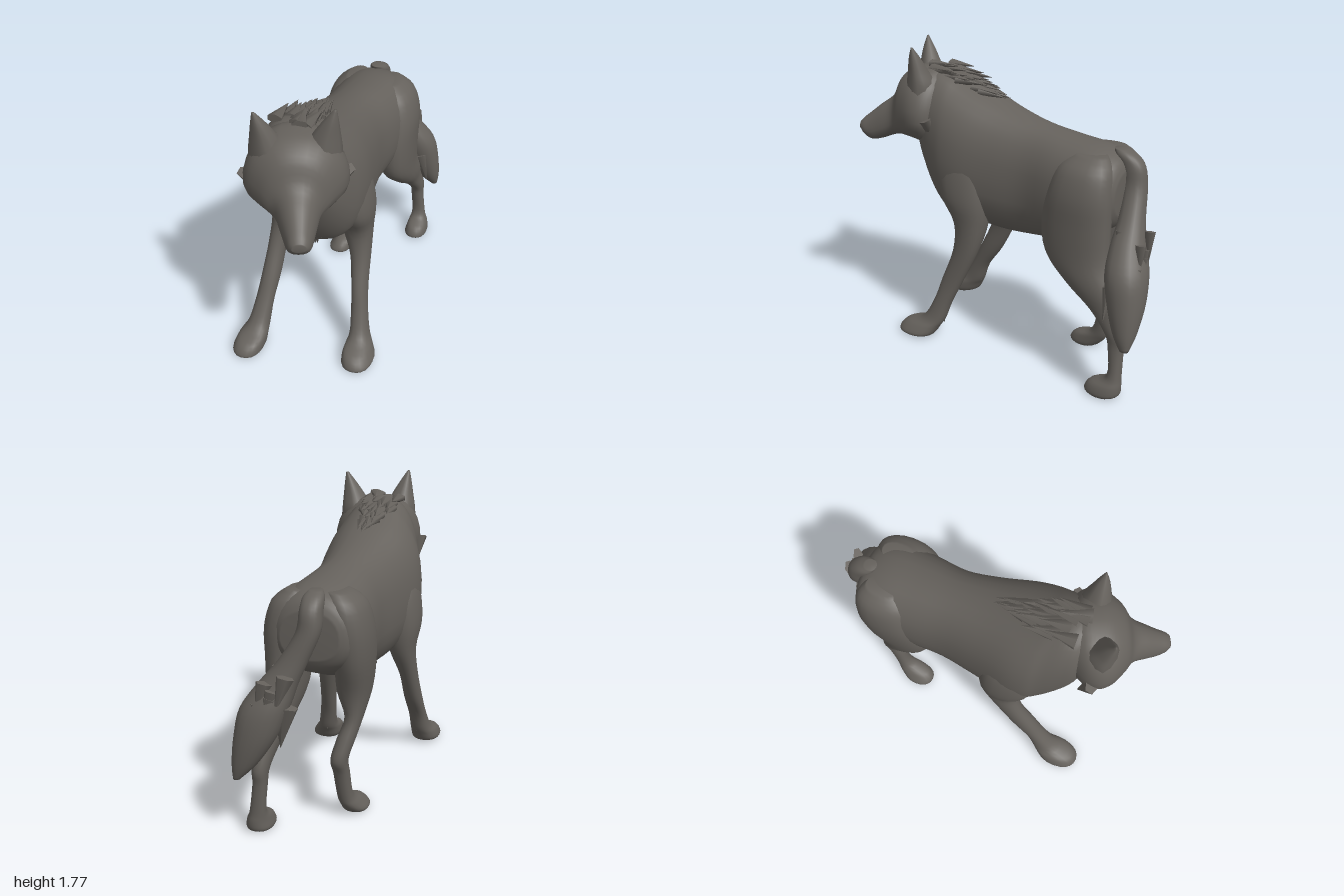
import * as THREE from 'three';

const fur = new THREE.MeshStandardMaterial({ color: 0x65615c });
fur.name = 'dark fur';

// Smooth interpolation through rows of numbers
function smoothRows(rows, steps) {
  const out = [];
  const at = (i) => rows[Math.max(0, Math.min(rows.length - 1, i))];
  for (let i = 0; i < rows.length - 1; i++) {
    for (let s = 0; s < steps; s++) {
      const t = s / steps;
      out.push(at(i).map((p1, k) => {
        const p0 = at(i - 1)[k], p2 = at(i + 1)[k], p3 = at(i + 2)[k];
        return 0.5 * (2 * p1 + (p2 - p0) * t + (2 * p0 - 5 * p1 + 4 * p2 - p3) * t * t
          + (3 * p1 - p0 - 3 * p2 + p3) * t * t * t);
      }));
    }
  }
  out.push(rows[rows.length - 1]);
  return out;
}

// Loft of oval sections, narrowed toward the top by taper. Rows ascend along the axis:
// axis 'z': [z, xMin, xMax, yMin, yMax]; axis 'y': [y, xMin, xMax, zMin, zMax]
function loft(name, axis, rows, power = 0.9, sides = 20, taper = 0) {
  const rings = smoothRows(rows, 4);
  const pos = [], index = [];
  const put = (t, a, b) => (axis === 'z' ? pos.push(a, b, t) : pos.push(a, t, b));
  const round = (v) => Math.sign(v) * Math.abs(v) ** power;
  for (const [t, a0, a1, b0, b1] of rings) {
    for (let j = 0; j < sides; j++) {
      const w = (j / sides) * Math.PI * 2;
      const c = round(Math.cos(w)), s = round(Math.sin(w));
      const [a, b] = axis === 'z' ? [c * (1 - taper * s), s] : [s, c];
      put(t, (a0 + a1) / 2 + a * (a1 - a0) / 2, (b0 + b1) / 2 + b * (b1 - b0) / 2);
    }
  }
  const n = rings.length;
  for (let i = 0; i < n - 1; i++) {
    for (let j = 0; j < sides; j++) {
      const k = (j + 1) % sides;
      const a = i * sides + j, b = i * sides + k, c = a + sides, d = b + sides;
      index.push(a, b, c, b, d, c);
    }
  }
  // End caps
  for (const i of [0, n - 1]) {
    const [t, a0, a1, b0, b1] = rings[i];
    put(t, (a0 + a1) / 2, (b0 + b1) / 2);
    const mid = pos.length / 3 - 1;
    for (let j = 0; j < sides; j++) {
      const a = i * sides + j, b = i * sides + (j + 1) % sides;
      if (i === 0) index.push(mid, b, a); else index.push(mid, a, b);
    }
  }
  const g = new THREE.BufferGeometry();
  g.setAttribute('position', new THREE.Float32BufferAttribute(pos, 3));
  g.setIndex(index);
  g.computeVertexNormals();
  const mesh = new THREE.Mesh(g, fur);
  mesh.name = name;
  return mesh;
}

// Flattened lock of fur pointing along a direction
function tuft(name, at, dir, length, width) {
  const m = new THREE.Mesh(new THREE.ConeGeometry(width, length, 6), fur);
  m.name = name;
  m.position.set(...at);
  m.quaternion.setFromUnitVectors(new THREE.Vector3(0, 1, 0), new THREE.Vector3(...dir).normalize());
  m.scale.z = 0.6;
  return m;
}

export function createModel() {
  const model = new THREE.Group();
  model.name = 'wolf';
  let seed = 7;
  const rand = () => (seed = (seed * 16807) % 2147483647) / 2147483647;
  const spread = (r) => (rand() * 2 - 1) * r;

  // Torso, chest and neck
  model.add(loft('body', 'z', [
    [-0.76, -0.15, 0.16, 0.99, 1.24],
    [-0.72, -0.21, 0.22, 0.92, 1.31],
    [-0.6, -0.24, 0.26, 0.86, 1.355],
    [-0.4, -0.25, 0.25, 0.78, 1.38],
    [-0.2, -0.25, 0.22, 0.74, 1.41],
    [0.0, -0.29, 0.24, 0.73, 1.46],
    [0.2, -0.34, 0.27, 0.75, 1.53],
    [0.32, -0.34, 0.27, 0.76, 1.58],
    [0.4, -0.31, 0.25, 0.79, 1.62],
    [0.5, -0.27, 0.21, 0.93, 1.65],
    [0.58, -0.22, 0.16, 1.1, 1.62],
    [0.64, -0.1, 0.1, 1.24, 1.5],
  ], 0.86, 28, 0.06));

  // Front legs with shoulders and paws
  model.add(loft('frontLegLeft', 'y', [
    [0.01, 0.24, 0.4, 0.4, 0.6],
    [0.03, 0.23, 0.42, 0.37, 0.62],
    [0.08, 0.23, 0.39, 0.34, 0.58],
    [0.13, 0.235, 0.35, 0.31, 0.46],
    [0.25, 0.22, 0.32, 0.27, 0.39],
    [0.4, 0.2, 0.295, 0.2, 0.34],
    [0.6, 0.16, 0.28, 0.11, 0.27],
    [0.78, 0.1, 0.28, 0.06, 0.27],
    [0.95, 0.1, 0.295, 0.05, 0.36],
    [1.15, 0.08, 0.26, 0.07, 0.38],
    [1.32, 0.06, 0.18, 0.15, 0.32],
  ]));
  model.add(loft('frontLegRight', 'y', [
    [0.01, -0.41, -0.25, 0.54, 0.74],
    [0.03, -0.425, -0.24, 0.5, 0.76],
    [0.08, -0.41, -0.24, 0.47, 0.72],
    [0.13, -0.38, -0.25, 0.44, 0.6],
    [0.25, -0.36, -0.25, 0.39, 0.51],
    [0.4, -0.35, -0.24, 0.28, 0.43],
    [0.6, -0.34, -0.23, 0.17, 0.33],
    [0.78, -0.34, -0.18, 0.08, 0.29],
    [0.95, -0.365, -0.15, 0.05, 0.37],
    [1.15, -0.34, -0.15, 0.07, 0.38],
    [1.32, -0.26, -0.13, 0.15, 0.32],
  ]));
  // Spurs behind the front wrists
  model.add(tuft('wristSpur', [0.28, 0.16, 0.325], [0, -1, -0.1], 0.12, 0.035));
  model.add(tuft('wristSpur', [-0.3, 0.17, 0.455], [0, -1, -0.1], 0.12, 0.035));

  // Hind legs with thighs, hocks and paws
  model.add(loft('hindLegLeft', 'y', [
    [0.01, 0.22, 0.35, -0.87, -0.71],
    [0.03, 0.21, 0.36, -0.9, -0.69],
    [0.08, 0.22, 0.35, -0.905, -0.72],
    [0.14, 0.23, 0.32, -0.9, -0.82],
    [0.3, 0.22, 0.3, -0.9, -0.81],
    [0.39, 0.21, 0.3, -0.91, -0.78],
    [0.5, 0.18, 0.29, -0.87, -0.67],
    [0.62, 0.14, 0.3, -0.82, -0.51],
    [0.76, 0.1, 0.3, -0.76, -0.37],
    [0.95, 0.08, 0.305, -0.75, -0.34],
    [1.12, 0.06, 0.305, -0.75, -0.37],
    [1.26, 0.05, 0.26, -0.73, -0.42],
    [1.33, 0.06, 0.17, -0.68, -0.5],
  ]));
  model.add(loft('hindLegRight', 'y', [
    [0.01, -0.22, -0.09, -0.52, -0.37],
    [0.03, -0.23, -0.08, -0.55, -0.35],
    [0.08, -0.2, -0.08, -0.59, -0.39],
    [0.14, -0.17, -0.08, -0.61, -0.51],
    [0.3, -0.16, -0.07, -0.65, -0.55],
    [0.39, -0.16, -0.065, -0.69, -0.56],
    [0.5, -0.19, -0.09, -0.66, -0.51],
    [0.62, -0.22, -0.12, -0.62, -0.44],
    [0.76, -0.25, -0.07, -0.64, -0.33],
    [0.95, -0.275, -0.07, -0.71, -0.33],
    [1.12, -0.275, -0.06, -0.74, -0.37],
    [1.26, -0.24, -0.05, -0.73, -0.42],
    [1.33, -0.16, -0.05, -0.68, -0.5],
  ]));

  // Bushy tail hanging to one side
  model.add(loft('tail', 'y', [
    [0.36, 0.33, 0.37, -0.97, -0.92],
    [0.45, 0.24, 0.38, -0.99, -0.86],
    [0.6, 0.14, 0.37, -1.0, -0.8],
    [0.75, 0.08, 0.34, -0.985, -0.76],
    [0.88, 0.04, 0.25, -0.93, -0.75],
    [1.0, -0.01, 0.15, -0.89, -0.75],
    [1.15, -0.07, 0.06, -0.86, -0.73],
    [1.26, -0.075, 0.045, -0.84, -0.7],
    [1.32, -0.07, 0.04, -0.79, -0.67],
    [1.35, -0.05, 0.02, -0.73, -0.66],
  ]));
  for (let i = 0; i < 16; i++) {
    const f = (i % 8) / 7;
    model.add(tuft('tailTuft', [0.15 + f * 0.13 + spread(0.05), 0.85 - f * 0.28, i < 8 ? -0.94 : -0.8],
      [0.3, -1, i < 8 ? -0.1 : 0], 0.2, 0.05));
  }
  // Side lock of the tail
  model.add(tuft('tailTuft', [0.11, 0.65, -0.88], [0.15, -1, 0], 0.24, 0.07));

  // Head, turned toward its left
  const head = new THREE.Group();
  head.name = 'head';
  head.position.set(0, 0, 0.58);
  head.rotation.y = 0.44;
  head.add(loft('skullAndMuzzle', 'z', [
    [-0.14, -0.13, 0.13, 1.3, 1.6],
    [-0.06, -0.23, 0.23, 1.21, 1.65],
    [0.02, -0.27, 0.27, 1.19, 1.65],
    [0.1, -0.25, 0.25, 1.21, 1.63],
    [0.18, -0.18, 0.18, 1.22, 1.57],
    [0.235, -0.12, 0.12, 1.21, 1.46],
    [0.32, -0.09, 0.09, 1.18, 1.395],
    [0.39, -0.07, 0.07, 1.17, 1.34],
    [0.435, -0.055, 0.055, 1.2, 1.305],
    [0.46, -0.035, 0.035, 1.235, 1.28],
  ], 0.88, 24, 0.14));
  for (const s of [-1, 1]) {
    const span = (a, b) => (s > 0 ? [a, b] : [-b, -a]);
    // Broad pointed ear
    head.add(loft('ear', 'y', [
      [1.48, ...span(0.0, 0.24), -0.07, 0.13],
      [1.56, ...span(0.04, 0.235), -0.06, 0.12],
      [1.64, ...span(0.085, 0.225), -0.02, 0.105],
      [1.72, ...span(0.14, 0.215), 0.02, 0.09],
      [1.785, ...span(0.19, 0.205), 0.06, 0.07],
    ], 1.25, 12));
    // Cheek ruff sweeping down and back
    for (let i = 0; i < 3; i++) {
      head.add(tuft('cheekTuft', [s * (0.235 - i * 0.035), 1.29 - i * 0.01, -0.04 + i * 0.03],
        [s * -0.1, -1, -0.4], 0.18, 0.07));
    }
  }
  model.add(head);

  // Mane locks from the crown down to the withers
  for (let i = 0; i < 30; i++) {
    const f = i / 29;
    const x = spread(0.12 * (1 - f * 0.6));
    model.add(tuft('maneTuft', [x - 0.05, 1.665 - f * 0.14 - Math.abs(x) * 0.15, 0.48 - f * 0.36],
      [spread(0.25), 0.02 - f * 0.15, -1], 0.17, 0.045));
  }

  // Ragged fur on the chest and under the belly
  for (let i = 0; i < 18; i++) {
    const f = i / 17;
    model.add(tuft('chestTuft', [-0.03 + spread(0.11), 1.12 - f * 0.3, 0.56 - f * 0.17],
      [spread(0.2), -1, -0.25], 0.2, 0.05));
  }
  for (let i = 0; i < 14; i++) {
    model.add(tuft('bellyTuft', [-0.03 + spread(0.12), 0.765, 0.25 - i * 0.043],
      [spread(0.2), -0.15, -1], 0.16, 0.035));
  }
  return model;
}
